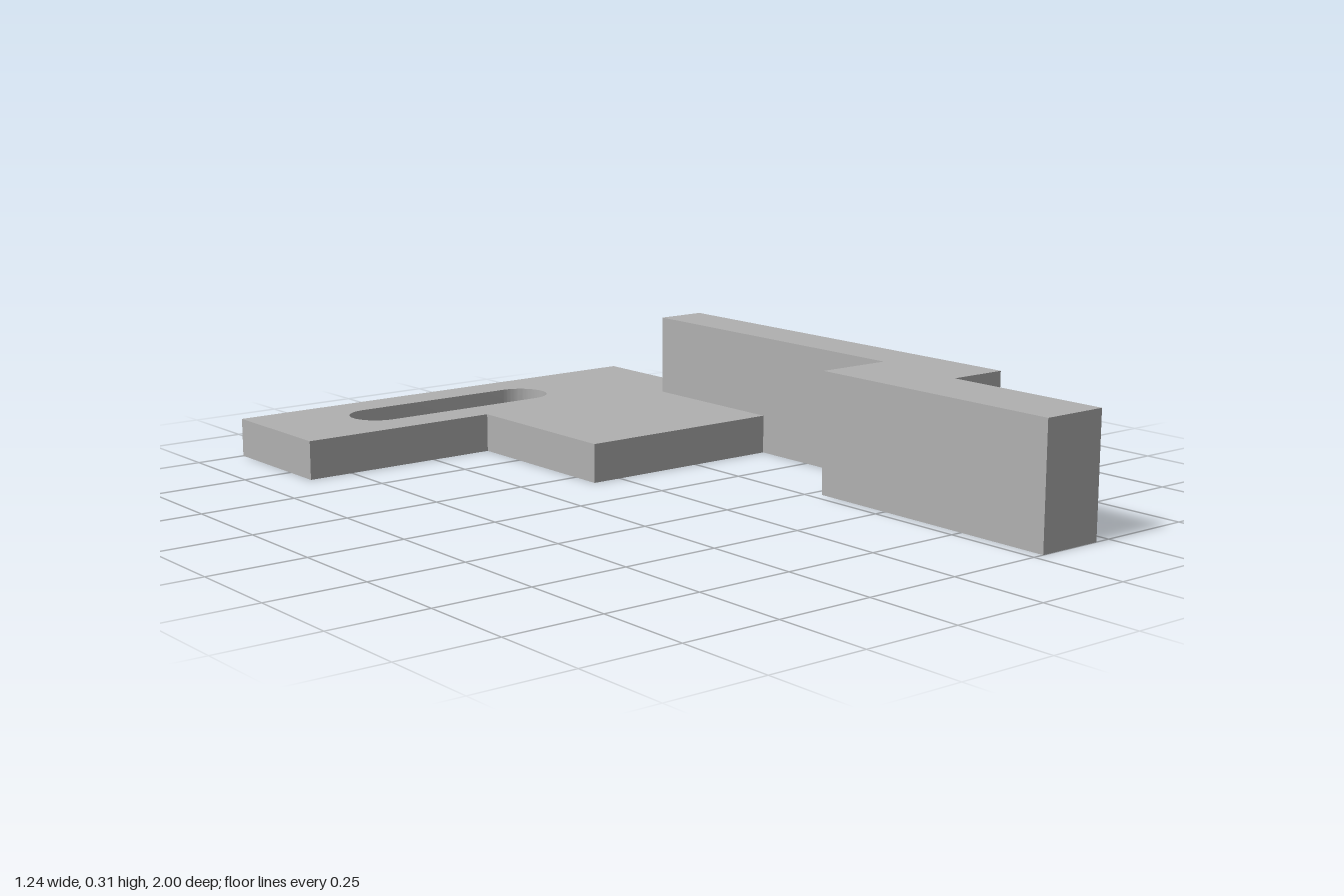
import * as THREE from 'three';
import { toCreasedNormals } from 'three/addons/utils/BufferGeometryUtils.js';

// Outline points are [x, z] as seen from above; the solid rises from y = 0.
function slab(name, outline, height, material, hole) {
  const shape = new THREE.Shape(outline.map(([x, z]) => new THREE.Vector2(x, -z)));
  if (hole) shape.holes.push(hole);
  const extruded = new THREE.ExtrudeGeometry(shape, { depth: height, bevelEnabled: false, curveSegments: 24 });
  extruded.rotateX(-Math.PI / 2);
  const mesh = new THREE.Mesh(toCreasedNormals(extruded, Math.PI / 6), material);
  mesh.name = name;
  return mesh;
}

// Round-ended slot running along x
function slot(x0, x1, z, radius) {
  const path = new THREE.Path();
  path.absarc(x1 - radius, -z, radius, -Math.PI / 2, Math.PI / 2, false);
  path.absarc(x0 + radius, -z, radius, Math.PI / 2, Math.PI * 1.5, false);
  path.closePath();
  return path;
}

export function createModel() {
  const group = new THREE.Group();
  group.name = 'slottedBracket';
  const metal = new THREE.MeshStandardMaterial({ color: 0xb0b0b0 });
  metal.name = 'grey metal';

  // Thin mounting plate, notched where the arm stands
  group.add(slab('mountingPlate', [
    [-0.62, -1], [0.617, -1], [0.617, -0.6], [0.483, -0.6],
    [0.483, -0.17], [-0.08, -0.17], [-0.08, -0.645], [-0.62, -0.645],
  ], 0.1, metal, slot(-0.385, 0.225, -0.823, 0.077)));

  // Tall stepped arm reaching forward
  group.add(slab('steppedArm', [
    [0.483, -0.6], [0.617, -0.6], [0.617, 0.548], [0.458, 0.548],
    [0.458, 1], [0.28, 1], [0.28, 0.28], [0.483, 0.28],
  ], 0.31, metal));

  return group;
}
